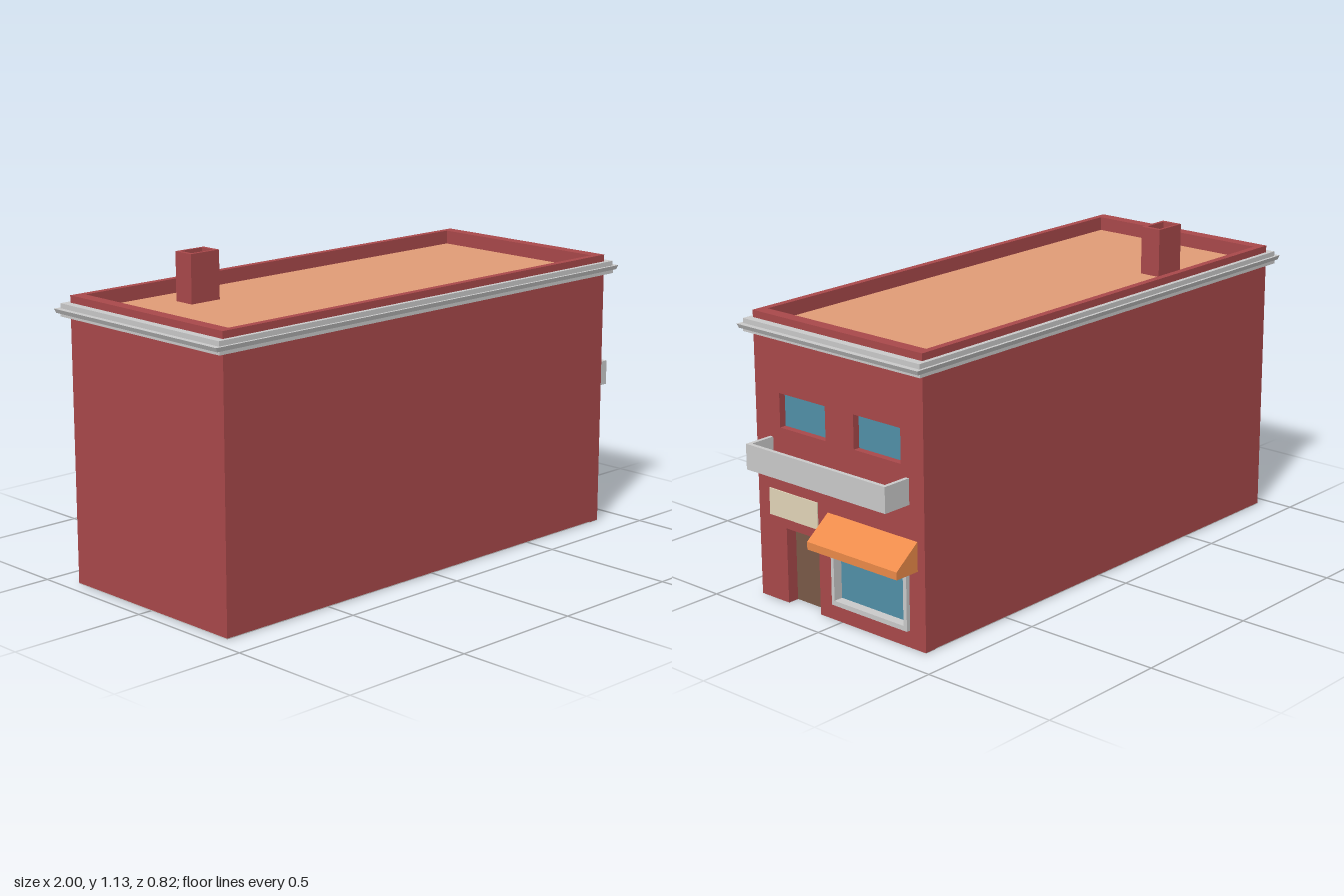
import * as THREE from 'three';

const mat = (color) => new THREE.MeshStandardMaterial({ color, flatShading: true, side: THREE.DoubleSide });
const BRICK = mat(0xaa494b), ROOF = mat(0xe29d77), GLASS = mat(0x5191a9), GREY = mat(0xcccccc);
const AWNING = mat(0xed8b49), SIGN = mat(0xe4d6ba), DOOR = mat(0x7a5a48);

// Overall extents of the brick walls
const X0 = -0.95, X1 = 0.89, Z = 0.385, H = 1.01, T = 0.045, TZ = 0.025, ROOF_Y = 0.96;

export function createModel() {
  const group = new THREE.Group();

  const add = (name, geometry, material) => {
    const mesh = new THREE.Mesh(geometry, material);
    mesh.name = name;
    group.add(mesh);
    return mesh;
  };

  // Box given by its limits on each axis
  const box = (name, material, x0, x1, y0, y1, z0, z1) => {
    const mesh = add(name, new THREE.BoxGeometry(x1 - x0, y1 - y0, z1 - z0), material);
    mesh.position.set((x0 + x1) / 2, (y0 + y1) / 2, (z0 + z1) / 2);
    return mesh;
  };

  const outline = (points, Kind = THREE.Shape) => new Kind(points.map(([a, b]) => new THREE.Vector2(a, b)));
  const rect = ([a0, a1, b0, b1], Kind) => outline([[a0, b0], [a1, b0], [a1, b1], [a0, b1]], Kind);

  // Shape drawn on the facade (u = -z, v = y), extruded from x0 to x1
  const facadePart = (name, material, shape, x0, x1) => {
    const geo = new THREE.ExtrudeGeometry(shape, { depth: x1 - x0, bevelEnabled: false });
    geo.rotateY(Math.PI / 2).translate(x0, 0, 0);
    return add(name, geo, material);
  };

  // Openings as [u0, u1, v0, v1]
  const upperWindows = [[-0.27, -0.055, 0.625, 0.745], [0.075, 0.285, 0.625, 0.745]];
  const shopOuter = [-0.03, 0.315, 0.06, 0.285];
  const shopInner = [-0.017, 0.3, 0.077, 0.27];
  const door = [-0.255, -0.1, 0, 0.27];

  // Base and walls
  box('base', GREY, X0, X1 - T, 0, 0.003, -Z, Z);
  box('backWall', BRICK, X0, X0 + T, 0.003, H, -Z, Z);
  for (const s of [-1, 1]) {
    const inner = s * (Z - TZ);
    box('sideWall', BRICK, X0 + T, X1 - T, 0.003, H, Math.min(s * Z, inner), Math.max(s * Z, inner));
  }

  // Facade with a notch for the door and holes for the windows
  const facade = outline([
    [-Z, 0], [door[0], 0], [door[0], door[3]], [door[1], door[3]], [door[1], 0],
    [Z, 0], [Z, H], [-Z, H],
  ]);
  for (const hole of [...upperWindows, shopOuter]) facade.holes.push(rect(hole, THREE.Path));
  facadePart('facade', BRICK, facade, X1 - T, X1);

  // Roof inside the parapet
  box('roof', ROOF, X0 + T, X1 - T, ROOF_Y - 0.02, ROOF_Y, -Z + TZ, Z - TZ);

  // Grey underside of the facade, either side of the door
  for (const [z0, z1] of [[-Z, -door[1]], [-door[0], Z]]) {
    box('facadeBase', GREY, X1 - T, X1, -0.001, 0.001, z0, z1);
  }

  // Recessed panes and door
  for (const w of upperWindows) facadePart('upperWindow', GLASS, rect(w), X1 - T, X1 - 0.025);
  facadePart('door', DOOR, rect(door), X1 - T - 0.005, X1 - T + 0.003);

  // Shop window
  const frame = rect(shopOuter);
  frame.holes.push(rect(shopInner, THREE.Path));
  facadePart('shopWindowFrame', GREY, frame, X1 - T, X1 + 0.015);
  facadePart('shopWindowGlass', GLASS, rect(shopInner), X1 - T, X1 - 0.02);

  // Sign board over the door
  facadePart('signBoard', SIGN, rect([-0.33, -0.1, 0.305, 0.4]), X1, X1 + 0.004);

  // Awning: slope, valance and side cheeks, open underneath
  const profile = [[X1, 0.377], [0.987, 0.302], [0.987, 0.275], [X1, 0.275]];
  const zA = -0.353, zB = 0.054;
  for (let i = 0; i < 2; i++) {
    const [ax, ay] = profile[i], [bx, by] = profile[i + 1];
    const geo = new THREE.BufferGeometry();
    geo.setAttribute('position', new THREE.Float32BufferAttribute(
      [ax, ay, zA, ax, ay, zB, bx, by, zB, bx, by, zA], 3));
    geo.setIndex([0, 1, 2, 0, 2, 3]);
    geo.computeVertexNormals();
    add(i ? 'awningValance' : 'awningSlope', geo, AWNING);
  }
  for (const z of [zA, zB]) add('awningCheek', new THREE.ShapeGeometry(outline(profile)), AWNING).position.z = z;

  // Balcony: floor and solid railings
  box('balconyFloor', GREY, X1, 1, 0.495, 0.51, -0.32, 0.32);
  box('balconyFront', GREY, 0.985, 1, 0.51, 0.585, -0.32, 0.32);
  for (const s of [-1, 1]) {
    box('balconyEnd', GREY, X1, 0.985, 0.51, 0.585, s > 0 ? 0.306 : -0.32, s > 0 ? 0.32 : -0.306);
  }

  // Cornice: moulding profile [height, overhang in x, overhang in z] run round the walls
  const rings = [
    [0.94, 0, 0], [0.94, 0.03, 0.018], [0.953, 0.03, 0.018], [0.953, 0.043, 0.022],
    [0.968, 0.05, 0.026], [0.968, 0.03, 0.016], [0.985, 0.03, 0.016], [0.985, 0, 0],
  ];
  const pos = [], index = [];
  for (const [y, ox, oz] of rings) {
    const a = X0 - ox, b = X1 + ox, c = Z + oz;
    pos.push(a, y, c, b, y, c, b, y, -c, a, y, -c);
  }
  for (let r = 0; r < rings.length - 1; r++) {
    for (let k = 0; k < 4; k++) {
      const p = r * 4 + k, q = r * 4 + (k + 1) % 4;
      index.push(p, q, q + 4, p, q + 4, p + 4);
    }
  }
  let cornice = new THREE.BufferGeometry();
  cornice.setAttribute('position', new THREE.Float32BufferAttribute(pos, 3));
  cornice.setIndex(index);
  cornice = cornice.toNonIndexed();
  cornice.computeVertexNormals();
  add('cornice', cornice, GREY);

  // Hollow chimney
  const flue = rect([-0.605, -0.48, 0.17, 0.25]);
  flue.holes.push(rect([-0.59, -0.495, 0.183, 0.24], THREE.Path));
  const chimney = new THREE.ExtrudeGeometry(flue, { depth: 1.132 - ROOF_Y, bevelEnabled: false });
  chimney.rotateX(-Math.PI / 2).translate(0, ROOF_Y, 0);
  add('chimney', chimney, BRICK);
  box('chimneyFloor', BRICK, -0.59, -0.495, ROOF_Y, 1.04, -0.24, -0.183);

  return group;
}
